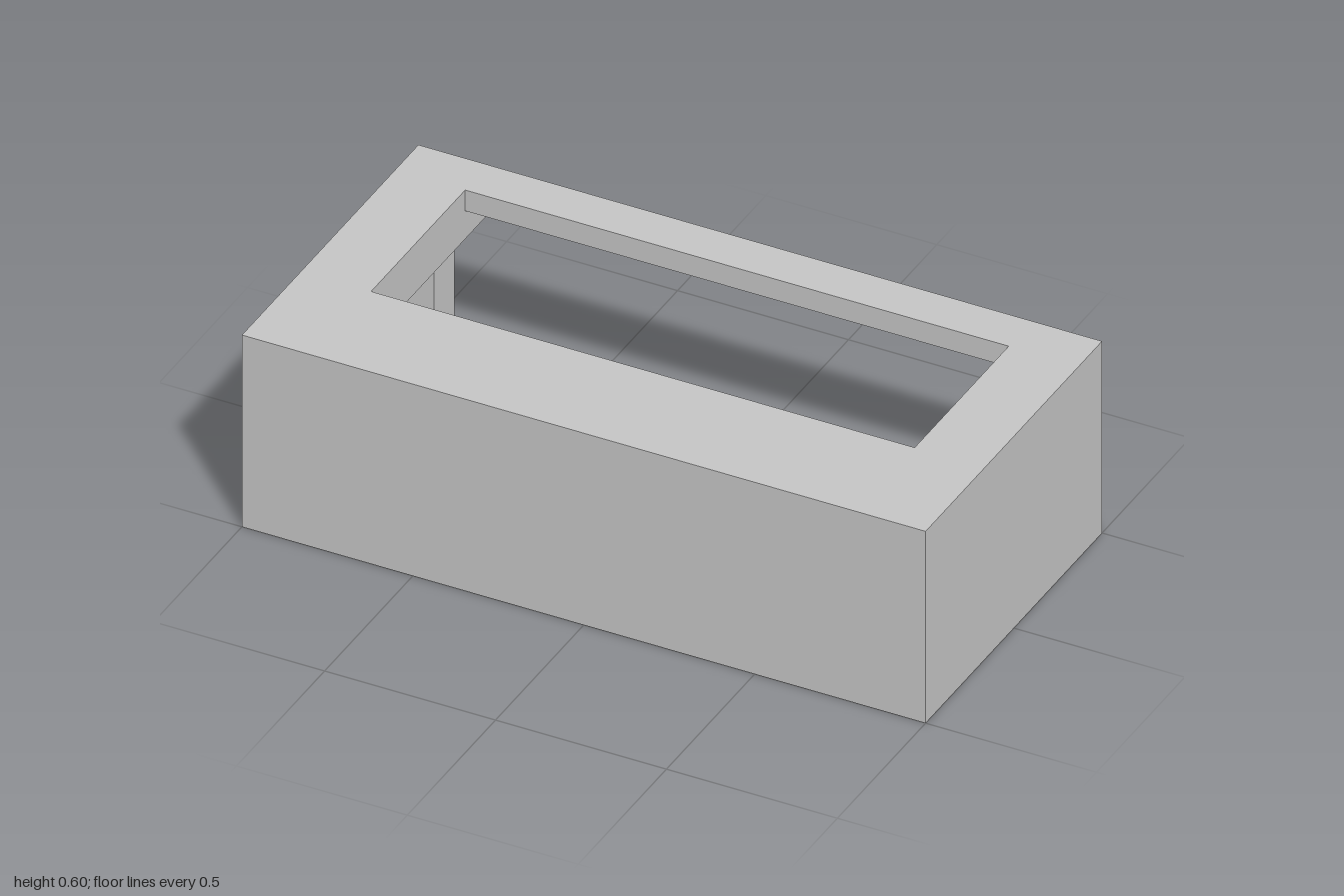
import * as THREE from 'three';

const FLOOR = 0.045, CEIL = 0.535, HEIGHT = 0.6;
const INNER_X = 0.895, CUT_X = 0.795, INNER_FRONT = 0.333;

// Rectangle with a rectangular hole, extruded; each rectangle is [x0, y0, x1, y1]
function framePlate(outer, hole, depth) {
  const corners = ([x0, y0, x1, y1]) => [[x0, y0], [x1, y0], [x1, y1], [x0, y1]].map(p => new THREE.Vector2(...p));
  const shape = new THREE.Shape(corners(outer));
  shape.holes.push(new THREE.Path(corners(hole).reverse()));
  return new THREE.ExtrudeGeometry(shape, { depth, bevelEnabled: false });
}

// Box given by its extents on each axis
function boxBetween([x0, x1], [y0, y1], [z0, z1]) {
  return new THREE.BoxGeometry(x1 - x0, y1 - y0, z1 - z0)
    .translate((x0 + x1) / 2, (y0 + y1) / 2, (z0 + z1) / 2);
}

export function createModel() {
  const group = new THREE.Group();
  const lightGrey = new THREE.MeshStandardMaterial({ color: 0xc7c7c7 });
  lightGrey.name = 'lightGrey';

  const add = (name, geometry) => {
    const mesh = new THREE.Mesh(geometry, lightGrey);
    mesh.name = name;
    group.add(mesh);
  };

  // Floor, thick front wall and plain side wall
  add('floor', boxBetween([-1, 1], [0, FLOOR], [-0.5, 0.5]));
  add('frontWall', boxBetween([-1, 1], [FLOOR, CEIL], [INNER_FRONT, 0.5]));
  add('leftWall', boxBetween([INNER_X, 1], [FLOOR, CEIL], [-0.5, INNER_FRONT]));

  // Side wall with a window near the back, drawn in (-z, y)
  const rightWall = framePlate([-INNER_FRONT, FLOOR, 0.5, CEIL], [0.015, 0.07, 0.385, 0.447], 1 - INNER_X);
  add('rightWall', rightWall.rotateY(Math.PI / 2).translate(-1, 0, 0));

  // Beam under the lid along the windowed wall
  add('cornerBeam', boxBetween([-INNER_X, -CUT_X], [0.447, CEIL], [-0.5, INNER_FRONT]));

  // Lid with a large opening, drawn in (x, -z)
  const lid = framePlate([-1, -0.5, 1, 0.5], [-CUT_X, -0.165, CUT_X, 0.368], HEIGHT - CEIL);
  add('lid', lid.rotateX(-Math.PI / 2).translate(0, CEIL, 0));

  return group;
}
